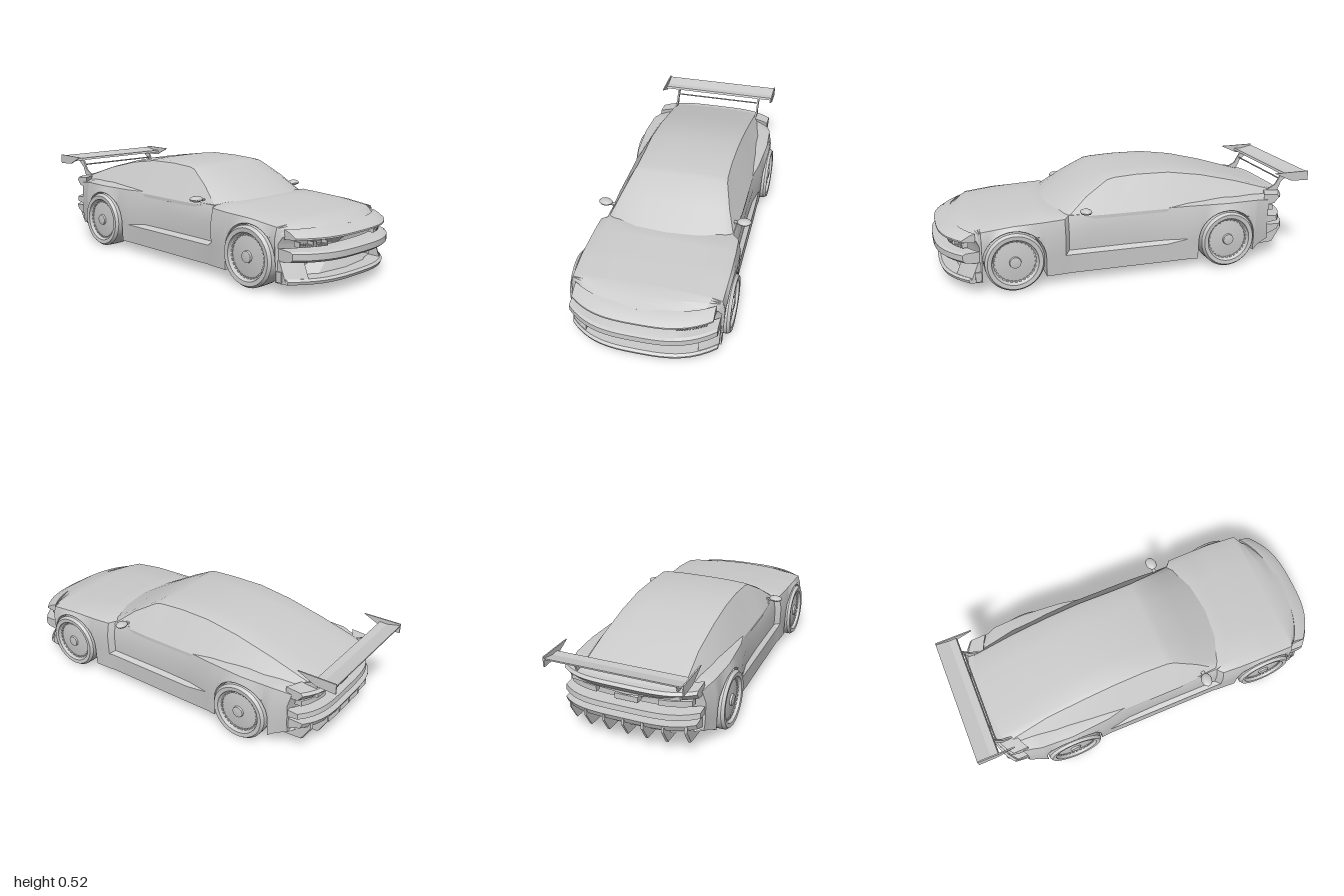
import * as THREE from 'three';
import { toCreasedNormals } from 'three/addons/utils/BufferGeometryUtils.js';

const mat = new THREE.MeshStandardMaterial({ color: 0xcccccc, side: THREE.DoubleSide });
const clamp = (v) => Math.min(1, Math.max(0, v));

function add(parent, name, geo) {
  const m = new THREE.Mesh(geo, mat);
  m.name = name;
  parent.add(m);
  return m;
}

// Skin a row of closed cross-sections and cap both ends
function loft(rings, crease = 0.45) {
  const n = rings[0].length, pos = [], idx = [];
  rings.forEach((r) => r.forEach((p) => pos.push(...p)));
  for (let i = 0; i < rings.length - 1; i++) {
    for (let j = 0; j < n; j++) {
      const k = (j + 1) % n, a = i * n + j, b = i * n + k, c = b + n, d = a + n;
      idx.push(a, d, c, a, c, b);
    }
  }
  [0, rings.length - 1].forEach((i, end) => {
    const c = pos.length / 3;
    pos.push(...[0, 1, 2].map((k) => rings[i].reduce((s, p) => s + p[k], 0) / n));
    for (let j = 0; j < n; j++) {
      const a = i * n + j, b = i * n + (j + 1) % n;
      if (end) idx.push(c, b, a); else idx.push(c, a, b);
    }
  });
  const g = new THREE.BufferGeometry();
  g.setAttribute('position', new THREE.Float32BufferAttribute(pos, 3));
  g.setIndex(idx);
  return toCreasedNormals(g, crease);
}

// Half section from bottom centre to top centre, mirrored into a full ring
const mirrorRing = (half) => [...half, ...half.slice(1, -1).reverse().map(([x, y, z]) => [-x, y, z])];

// Linear lookup in a table sorted by falling z
function sample(table, z) {
  let i = 0;
  while (i < table.length - 2 && z < table[i + 1][0]) i++;
  const a = table[i], b = table[i + 1], t = clamp((a[0] - z) / (a[0] - b[0]));
  return a.map((v, k) => v + (b[k] - v) * t);
}

// Plan curvature of nose and tail
function bow(x, s) {
  const ax = Math.abs(x);
  return s - clamp((s - 0.79) / 0.13) * 0.14 * (ax / 0.385) ** 3
    + clamp((-0.68 - s) / 0.15) * 0.1 * (ax / 0.37) ** 4;
}

// Closed [z, y] profile swept across the car from x1 to x0
function bar(profile, x0, x1, steps = 20) {
  let area = 0;
  profile.forEach(([z, y], i) => {
    const [z2, y2] = profile[(i + 1) % profile.length];
    area += -z * y2 + z2 * y;
  });
  const p = area > 0 ? profile : [...profile].reverse();
  const rings = [];
  for (let i = 0; i <= steps; i++) {
    const x = x1 + (x0 - x1) * i / steps;
    rings.push(p.map(([z, y]) => [x, y, bow(x, z)]));
  }
  return loft(rings);
}

// z, half width, shoulder y, inner half width, inner y, centre y
const BODY = [
  [0.92, 0.368, 0.272, 0.30, 0.29, 0.305], [0.85, 0.38, 0.305, 0.31, 0.32, 0.33],
  [0.79, 0.383, 0.318, 0.315, 0.33, 0.342], [0.63, 0.387, 0.335, 0.32, 0.348, 0.357],
  [0.47, 0.385, 0.34, 0.325, 0.355, 0.368], [0.37, 0.38, 0.345, 0.33, 0.358, 0.368],
  [0.345, 0.352, 0.345, 0.335, 0.352, 0.36], [0, 0.35, 0.345, 0.335, 0.35, 0.355],
  [-0.18, 0.355, 0.345, 0.335, 0.352, 0.355], [-0.3, 0.375, 0.35, 0.32, 0.36, 0.36],
  [-0.515, 0.39, 0.35, 0.31, 0.365, 0.365], [-0.7, 0.38, 0.35, 0.28, 0.36, 0.365],
  [-0.85, 0.355, 0.335, 0.26, 0.35, 0.355],
];
// z, base half width, roof half width, roof edge y, roof centre y
const CABIN = [
  [0.43, 0.335, 0.33, 0.345, 0.366], [0.27, 0.34, 0.29, 0.43, 0.445], [0.12, 0.345, 0.254, 0.5, 0.512],
  [0.08, 0.345, 0.248, 0.507, 0.518], [-0.05, 0.345, 0.245, 0.514, 0.525], [-0.22, 0.345, 0.248, 0.512, 0.525],
  [-0.4, 0.335, 0.25, 0.485, 0.5], [-0.6, 0.32, 0.252, 0.437, 0.448], [-0.88, 0.275, 0.25, 0.352, 0.36],
];
const FRONT = 0.63, REAR = -0.515, HUB = 0.155;

function bodyGeometry() {
  const arch = (c) => Array.from({ length: 17 }, (_, i) => {
    const a = Math.PI * i / 16;
    return [c + 0.16 * Math.cos(a), HUB + 0.155 * Math.sin(a)];
  });
  const flat = (y, ...zs) => zs.map((z) => [z, y]);
  const stations = [
    ...flat(0.06, 0.92, 0.885, 0.85, 0.82, 0.79), ...arch(FRONT),
    ...flat(0.055, 0.47, 0.37, 0.345, 0.2, 0, -0.18, -0.3, -0.355), ...arch(REAR),
    [-0.675, 0.07], [-0.72, 0.085], [-0.78, 0.1], [-0.85, 0.12],
  ];
  return loft(stations.map(([s, b]) => {
    const [, w, ysh, wi, yi, yc] = sample(BODY, s);
    const sill = s < 0.35 && s > -0.26 ? 0.372 : w - 0.004;
    return mirrorRing([
      [0, b], [sill * 0.6, b], [sill - 0.004, b], [sill, Math.max(0.155, b + 0.001)],
      [w - 0.003, Math.max(0.172, b + 0.002)], [w, Math.max(Math.min(0.27, ysh - 0.03), b + 0.004)],
      [w - 0.014, ysh], [wi, yi], [wi * 0.55, yc - 0.004], [0, yc],
    ].map(([x, y]) => [x, y, bow(x, s)]));
  }));
}

function cabinGeometry() {
  return loft(CABIN.map(([s, wb, wr, yr, yt]) => mirrorRing([
    [0, 0.3], [wb, 0.325], [wb, 0.342], [wr, yr], [wr * 0.9, yr + (yt - yr) * 0.5],
    [wr * 0.5, yr + (yt - yr) * 0.9], [0, yt],
  ].map(([x, y]) => [x, y, s - clamp((s - 0.1) / 0.33) * 0.08 * (x / 0.33) ** 2]))));
}

function wheel() {
  const g = new THREE.Group();
  // Tyre, open inner barrel, dished disc and raised hub in one turned profile
  const profile = [[0, 0.02], [0.1, 0.02], [0.108, -0.06], [0.138, -0.06], [0.15, -0.045], [0.151, 0],
    [0.15, 0.045], [0.139, 0.06], [0.118, 0.058], [0.114, 0.046], [0.104, 0.038], [0.035, 0.046],
    [0.03, 0.046], [0.028, 0.056], [0.015, 0.058], [0, 0.058]].map(([r, y]) => new THREE.Vector2(r, y));
  const turned = new THREE.LatheGeometry(profile, 48);
  turned.rotateZ(-Math.PI / 2);
  add(g, 'tyreAndRim', toCreasedNormals(turned, 0.5));
  for (let i = 0; i < 30; i++) {
    const a = i / 30 * Math.PI * 2;
    const slot = add(g, 'rimSlot', new THREE.BoxGeometry(0.006, 0.008, 0.012));
    slot.position.set(0.041, 0.104 * Math.cos(a), 0.104 * Math.sin(a));
    slot.rotation.x = a;
  }
  return g;
}

export function createModel() {
  const car = new THREE.Group();
  car.name = 'sportsCar';
  add(car, 'body', bodyGeometry());
  add(car, 'cabin', cabinGeometry());

  // Nose
  add(car, 'hoodLip', bar([[0.9, 0.308], [0.945, 0.298], [0.983, 0.276], [0.983, 0.268], [0.9, 0.262]], -0.345, 0.345));
  add(car, 'frontBumper', bar([[0.9, 0.22], [0.985, 0.216], [1, 0.208], [1, 0.178], [0.985, 0.166], [0.9, 0.16]], -0.365, 0.365));
  add(car, 'frontSplitter', bar([[0.88, 0.085], [0.965, 0.085], [0.978, 0.075], [0.972, 0.06], [0.88, 0.055]], -0.365, 0.365));
  // Tail
  add(car, 'tailLip', bar([[-0.8, 0.368], [-0.895, 0.362], [-0.908, 0.348], [-0.88, 0.315], [-0.81, 0.312]], -0.34, 0.34));
  add(car, 'rearBumper', bar([[-0.83, 0.25], [-0.9, 0.246], [-0.904, 0.218], [-0.83, 0.208]], -0.35, 0.35));
  add(car, 'diffuserRoof', bar([[-0.83, 0.196], [-0.918, 0.194], [-0.905, 0.165], [-0.83, 0.135]], -0.34, 0.34));
  for (let i = -3; i <= 3; i++) {
    const x = i * 0.1;
    add(car, 'diffuserFin', bar([[-0.7, 0.072], [-0.872, 0.08], [-0.92, 0.16], [-0.918, 0.19], [-0.8, 0.19]], x - 0.006, x + 0.006, 1));
  }
  add(car, 'exhaustSurround', bar([[-0.83, 0.295], [-0.872, 0.29], [-0.872, 0.262], [-0.83, 0.26]], -0.06, 0.06, 2));

  // Wing blade and brace
  add(car, 'wingBlade', bar([[-0.885, 0.452], [-0.93, 0.449], [-1, 0.472], [-1, 0.478], [-0.93, 0.462], [-0.89, 0.464]], -0.34, 0.34, 1)
    ).geometry = (() => {
    const s = new THREE.Shape([[0.885, 0.452], [0.93, 0.447], [1, 0.47], [1, 0.477], [0.93, 0.462], [0.89, 0.464]].map((p) => new THREE.Vector2(...p)));
    return new THREE.ExtrudeGeometry(s, { depth: 0.68, bevelEnabled: false }).rotateY(Math.PI / 2).translate(-0.34, 0, 0);
  })();
  const brace = add(car, 'wingBrace', new THREE.CylinderGeometry(0.004, 0.004, 0.52, 8).rotateZ(Math.PI / 2));
  brace.position.set(0, 0.425, -0.88);

  // Flat plate drawn in [-z, y], centred on x
  const plate = (name, pts, x, t) => add(car, name, new THREE.ExtrudeGeometry(
    new THREE.Shape(pts.map((p) => new THREE.Vector2(...p))), { depth: t, bevelEnabled: false },
  ).rotateY(Math.PI / 2).translate(x - t / 2, 0, 0));

  for (const s of [1, -1]) {
    plate('wingEndPlate', [[0.8, 0.482], [0.9, 0.436], [1, 0.432], [1, 0.484]], s * 0.342, 0.007);
    plate('wingStrut', [[0.79, 0.365], [0.86, 0.355], [0.885, 0.41], [0.94, 0.455], [0.885, 0.455], [0.85, 0.395]], s * 0.258, 0.009);

    const lo = (a, b) => [Math.min(s * a, s * b), Math.max(s * a, s * b)];
    add(car, 'bumperCorner', bar([[0.88, 0.07], [0.965, 0.075], [0.95, 0.115], [0.93, 0.165], [0.88, 0.165]], ...lo(0.28, 0.368), 6));
    add(car, 'canard', new THREE.BoxGeometry(0.008, 0.05, 0.03)).position.set(s * 0.372, 0.09, 0.81);
    add(car, 'tailLight', bar([[-0.83, 0.3], [-0.866, 0.298], [-0.866, 0.268], [-0.83, 0.266]], ...lo(0.16, 0.31), 5));

    // Twin headlamp units, each a small grid of lamps
    for (const x0 of [0.18, 0.25]) {
      for (let i = 0; i < 6; i++) {
        const x = s * (x0 + 0.005 + i * 0.011);
        add(car, 'headlamp', new THREE.BoxGeometry(0.008, i % 5 ? 0.012 : 0.026, 0.03)).position.set(x, i % 5 ? 0.234 : 0.241, bow(x, 0.935));
      }
    }

    // Mirror head and stalk
    const mirror = add(car, 'mirror', toCreasedNormals(new THREE.SphereGeometry(1, 12, 6), 0.6));
    mirror.scale.set(0.038, 0.015, 0.03);
    mirror.position.set(s * 0.374, 0.376, 0.262);
    mirror.rotation.y = s * 0.15;
    add(car, 'mirrorStalk', new THREE.BoxGeometry(0.04, 0.008, 0.02)).position.set(s * 0.34, 0.368, 0.262);

    for (const z of [FRONT, REAR]) {
      const w = wheel();
      w.name = z > 0 ? 'frontWheel' : 'rearWheel';
      w.position.set(s * 0.345, HUB, z);
      if (s < 0) w.rotation.y = Math.PI;
      car.add(w);
    }
  }
  return car;
}
